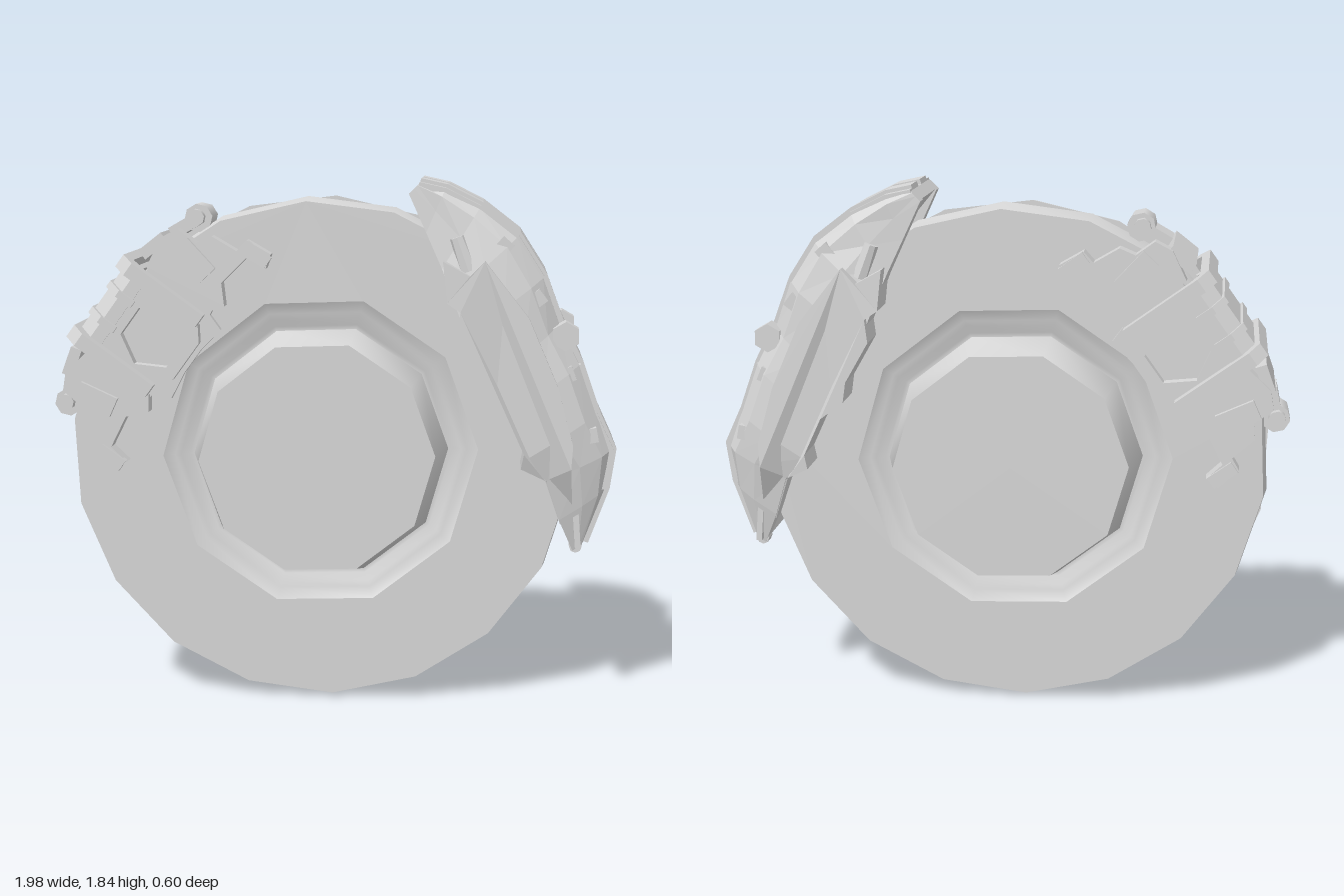
import * as THREE from 'three';
import { toCreasedNormals } from 'three/addons/utils/BufferGeometryUtils.js';

const CX = -0.04, CY = 0.885; // disc axle
const metal = new THREE.MeshStandardMaterial({ color: 0xd6d6d6 });
metal.name = 'grey metal';

function add(parent, geo, name) {
  const g = geo.index ? geo.toNonIndexed() : geo;
  const mesh = new THREE.Mesh(g, metal);
  mesh.name = name;
  parent.add(mesh);
  return mesh;
}

function flat(geo) {
  const g = geo.index ? geo.toNonIndexed() : geo;
  g.computeVertexNormals();
  return g;
}

// mirrored copy with the corner order corrected
function mirror(geo, sx, sz) {
  const g = geo.index ? geo.toNonIndexed() : geo.clone();
  g.scale(sx, 1, sz);
  if (sx * sz < 0) {
    const p = g.attributes.position, a = new THREE.Vector3(), b = new THREE.Vector3();
    for (let i = 0; i < p.count; i += 3) {
      a.fromBufferAttribute(p, i + 1);
      b.fromBufferAttribute(p, i + 2);
      p.setXYZ(i + 1, b.x, b.y, b.z);
      p.setXYZ(i + 2, a.x, a.y, a.z);
    }
  }
  g.computeVertexNormals();
  return g;
}

function bothSides(parent, geo, name) {
  for (const s of [1, -1]) add(parent, mirror(geo, 1, s), name);
}

const shapeOf = pts => new THREE.Shape(pts.map(p => new THREE.Vector2(p[0], p[1])));
const ngon = (n, r, start, cx = 0, cy = 0) => Array.from({ length: n }, (_, i) => {
  const a = start + i / n * Math.PI * 2;
  return [cx + r * Math.cos(a), cy + r * Math.sin(a)];
});

function plate(pts, z0, z1, hole) {
  const s = shapeOf(pts);
  if (hole) s.holes.push(shapeOf(hole));
  return new THREE.ExtrudeGeometry(s, { depth: z1 - z0, bevelEnabled: false }).translate(0, 0, z0);
}

const box = (w, h, d, x, y, z, turn = 0) =>
  new THREE.BoxGeometry(w, h, d).rotateZ(turn).translate(x, y, z);

const pin = (r, len, x, y, z, n = 8) =>
  new THREE.CylinderGeometry(r, r, len, n).rotateX(Math.PI / 2).translate(x, y, z);

// one half of the rotor: ring plus grooved, raised hub
function rotorHalf() {
  const g = new THREE.Group();
  const deg = Math.PI / 180;
  const ring = plate(ngon(18, 0.89, -87 * deg), 0.025, 0.13, ngon(10, 0.555, 2 * deg));
  const p = ring.attributes.position;
  for (let i = 0; i < p.count; i++) {
    if (Math.hypot(p.getX(i), p.getY(i)) > 0.7 && p.getZ(i) > 0.1)
      p.setXYZ(i, p.getX(i) * 0.985, p.getY(i) * 0.985, p.getZ(i));
  }
  add(g, toCreasedNormals(ring, 0.4), 'discRing');
  const profile = [[0, 0.025], [0.555, 0.025], [0.555, 0.13], [0.515, 0.11], [0.495, 0.11],
    [0.465, 0.09], [0.45, 0.09], [0.41, 0.25], [0, 0.25]].map(q => new THREE.Vector2(q[0], q[1]));
  const hub = new THREE.LatheGeometry(profile, 10).rotateX(Math.PI / 2).rotateZ(-16 * deg);
  add(g, toCreasedNormals(hub, 0.66), 'hub');
  return g;
}

// large caliper stations: outer x, y, inner x, y, half width outside, half width inside
const STATIONS = [
  [0.31, 1.84, 0.27, 1.79, 0.20, 0.20], [0.40, 1.82, 0.33, 1.66, 0.215, 0.21],
  [0.52, 1.76, 0.385, 1.54, 0.22, 0.23], [0.65, 1.66, 0.42, 1.45, 0.22, 0.26],
  [0.74, 1.52, 0.47, 1.32, 0.22, 0.275], [0.80, 1.36, 0.54, 1.15, 0.205, 0.275],
  [0.87, 1.22, 0.62, 1.05, 0.22, 0.275], [0.93, 1.05, 0.68, 0.90, 0.22, 0.275],
  [0.99, 0.92, 0.75, 0.82, 0.20, 0.25], [0.97, 0.78, 0.795, 0.68, 0.19, 0.225],
  [0.90, 0.585, 0.845, 0.565, 0.18, 0.19]];

// point pushed along the radius from the axle
function push(x, y, d) {
  const r = Math.hypot(x - CX, y - CY), k = (r + d) / r;
  return [CX + (x - CX) * k, CY + (y - CY) * k];
}

// U-shaped shell that straddles the rotor
function caliperShell() {
  const pos = [], idx = [], n = 16;
  for (const [ox0, oy0, ix, iy, zo, zi] of STATIONS) {
    const [ox, oy] = push(ox0, oy0, -0.018);
    const ri = Math.hypot(ix - CX, iy - CY), ro = Math.hypot(ox - CX, oy - CY);
    const fu = Math.min(0.8, Math.max(0.1, (0.905 - ri) / (ro - ri)));
    const out = [[0, zi], [0.5, zi], [0.84, (zi + zo) / 2], [1, zo - 0.03]];
    const inn = [[0, 0.14], [fu / 2, 0.14], [fu, 0.14], [fu, 0.07]];
    const full = h => [...h, ...h.slice().reverse().map(q => [q[0], -q[1]])];
    for (const [f, z] of [...full(out), ...full(inn).reverse()])
      pos.push(ix + (ox - ix) * f, iy + (oy - iy) * f, z);
  }
  const last = (STATIONS.length - 1) * n;
  for (let s = 0; s < last; s += n) for (let k = 0; k < n; k++) {
    const a = s + k, b = s + (k + 1) % n;
    idx.push(a, a + n, b, b, a + n, b + n);
  }
  for (let k = 0; k < 7; k++) {
    const o = k, o2 = k + 1, i = 15 - k, i2 = 14 - k;
    idx.push(o, o2, i, o2, i2, i);
    idx.push(last + o, last + i, last + o2, last + o2, last + i, last + i2);
  }
  const g = new THREE.BufferGeometry();
  g.setAttribute('position', new THREE.Float32BufferAttribute(pos, 3));
  g.setIndex(idx);
  return flat(g);
}

function largeCaliper() {
  const g = new THREE.Group();
  g.name = 'largeCaliper';
  add(g, caliperShell(), 'caliperShell');
  // raised bands along the back
  const band = (d, a, b) => [...STATIONS.slice(a, b).map(s => push(s[0], s[1], d)),
    ...STATIONS.slice(a, b).reverse().map(s => push(s[0], s[1], -0.04))];
  bothSides(g, plate(band(0, 0, 11), 0.03, 0.15), 'backBand');
  bothSides(g, plate(band(-0.012, 0, 5), 0.15, 0.195), 'upperShoulder');
  bothSides(g, plate(band(-0.012, 6, 10), 0.15, 0.185), 'lowerShoulder');
  // stepped cheeks, thinner at the lower end
  const cheek = plate([[0.39, 1.57], [0.405, 1.43], [0.45, 1.40], [0.44, 1.32], [0.52, 1.18], [0.53, 1.11],
    [0.61, 1.05], [0.67, 0.92], [0.66, 0.87], [0.745, 0.82], [0.80, 0.66], [0.84, 0.72], [0.83, 0.87], [0.835, 0.95],
    [0.78, 1.15], [0.68, 1.38], [0.53, 1.57], [0.48, 1.52]], 0.145, 0.3);
  const p = cheek.attributes.position;
  for (let i = 0; i < p.count; i++) if (p.getZ(i) > 0.2) {
    const x = p.getX(i), y = p.getY(i);
    const across = Math.max(0, (x - 0.4) * 0.87 + (y - 1.5) * 0.49);
    p.setZ(i, y < 0.86 ? 0.25 - (0.86 - y) * 0.2 : 0.3 - 0.08 * across);
  }
  bothSides(g, flat(cheek), 'cheek');
  // shoulder ribs, pins and bosses
  for (const [x, y, a] of [[0.57, 1.59, 0.85], [0.68, 1.42, 0.65], [0.78, 1.17, 0.4], [0.86, 0.97, 0.2]])
    bothSides(g, box(0.12, 0.05, 0.07, x, y, 0.205, a), 'shoulderRib');
  bothSides(g, new THREE.CylinderGeometry(0.025, 0.035, 0.12, 8).rotateZ(0.35).translate(0.455, 1.59, 0.225), 'bleedPin');
  bothSides(g, pin(0.05, 0.07, 0.805, 1.315, 0.195, 6), 'hexBoss');
  bothSides(g, box(0.02, 0.3, 0.03, 0.85, 0.73, 0.205, 0.08), 'pipe');
  bothSides(g, pin(0.022, 0.05, 0.855, 0.58, 0.165), 'pipeEnd');
  return g;
}

// local x runs along the rim, local y points out from the axle
function smallCaliper() {
  const g = new THREE.Group();
  g.name = 'smallCaliper';
  const arch = (w, top, low, t, c) => [[w, low], [w, top - c], [w - c, top], [c - w, top], [-w, top - c],
    [-w, low], [t - w, low], [t - w, top - 0.075], [t - w + 0.03, top - 0.035],
    [w - t - 0.03, top - 0.035], [w - t, top - 0.075], [w - t, low]];
  const archGeo = (pts, x0, x1) => plate(pts, x0, x1).rotateY(Math.PI / 2);
  for (const s of [1, -1]) {
    add(g, archGeo(arch(0.28, 0.945, 0.6, 0.05, 0.045), s * 0.15 - 0.025, s * 0.15 + 0.025), 'yokeBar');
    add(g, archGeo(arch(0.25, 0.935, 0.82, 0.05, 0.05), s * 0.055 - 0.013, s * 0.055 + 0.013), 'bridgeRib');
  }
  add(g, archGeo(arch(0.24, 0.925, 0.83, 0.05, 0.05), -0.13, 0.13), 'bridge');
  bothSides(g, plate([[-0.13, 0.88], [-0.13, 0.6], [-0.08, 0.56], [0.08, 0.56], [0.13, 0.6], [0.13, 0.88]],
    0.19, 0.235, ngon(6, 0.112, 0, 0, 0.7)), 'pistonFrame');
  bothSides(g, plate([[-0.21, 0.84], [-0.23, 0.6], [-0.17, 0.59], [-0.15, 0.53], [-0.05, 0.545], [0.05, 0.545],
    [0.15, 0.53], [0.17, 0.59], [0.23, 0.6], [0.21, 0.84]], 0.135, 0.165), 'brakePad');
  // hooked brackets at both ends
  const hook = plate([[0.18, 0.86], [0.18, 0.6], [0.23, 0.565], [0.29, 0.62], [0.41, 0.6], [0.42, 0.525],
    [0.47, 0.54], [0.46, 0.635], [0.41, 0.64], [0.40, 0.74], [0.35, 0.77], [0.35, 0.85], [0.29, 0.88]], 0.135, 0.2);
  for (const s of [1, -1]) {
    for (const z of [1, -1]) {
      add(g, mirror(hook, s, z), 'bracketHook');
      add(g, box(0.07, 0.14, 0.03, s * 0.3, 0.74, z * 0.205, -s * 0.2), 'bracketBlock');
      add(g, box(0.045, 0.1, 0.03, s * 0.44, 0.58, z * 0.195), 'hookTip');
    }
    add(g, box(0.1, 0.04, 0.37, s * 0.25, 0.885, 0, -s * 0.28), 'crossBar');
    add(g, box(0.1, 0.045, 0.14, s * 0.35, 0.85, 0, -s * 0.42), 'boltArm');
    add(g, pin(0.05, 0.13, s * 0.405, 0.825, 0), 'bolt');
    add(g, pin(0.03, 0.2, s * 0.405, 0.83, 0), 'boltShank');
  }
  g.position.set(CX, CY, 0);
  g.rotation.z = 54 * Math.PI / 180;
  return g;
}

export function createModel() {
  const model = new THREE.Group();
  model.name = 'discBrake';
  for (const [name, turn] of [['frontRotor', 0], ['backRotor', Math.PI]]) {
    const half = rotorHalf();
    half.name = name;
    half.position.set(CX, CY, 0);
    half.rotation.y = turn;
    model.add(half);
  }
  model.add(largeCaliper(), smallCaliper());
  return model;
}
